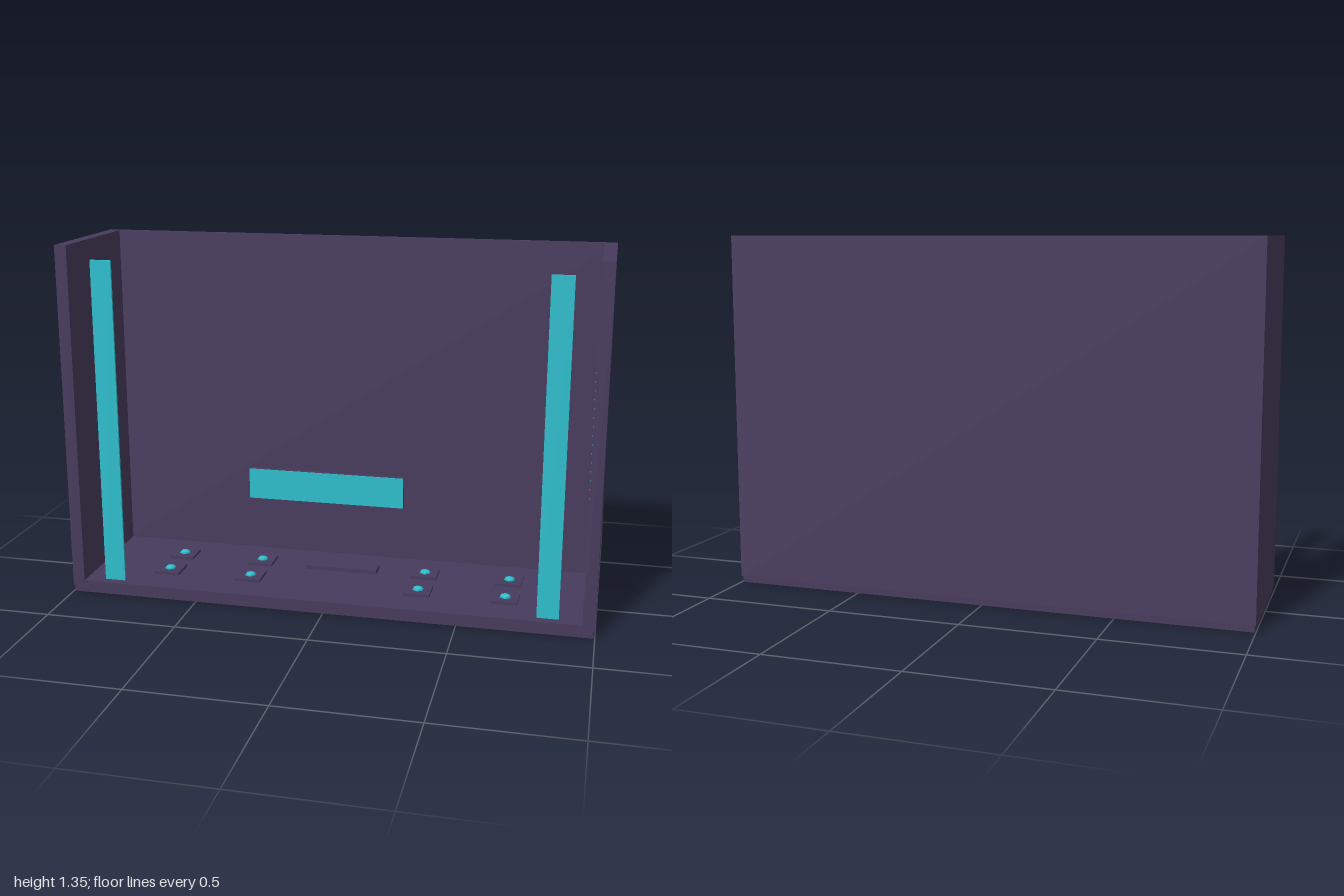
import * as THREE from 'three';

export function createModel() {
  const model = new THREE.Group();
  const plum = new THREE.MeshStandardMaterial({ color: 0x483b5d });
  plum.name = 'dark plum';
  const cyan = new THREE.MeshStandardMaterial({ color: 0x2ebfce });
  cyan.name = 'cyan';

  const add = (name, geometry, material, x, y, z) => {
    const mesh = new THREE.Mesh(geometry, material);
    mesh.name = name;
    mesh.position.set(x, y, z);
    model.add(mesh);
    return mesh;
  };
  // Box given by its lower and upper limits on each axis
  const box = (name, material, x0, x1, y0, y1, z0, z1) =>
    add(name, new THREE.BoxGeometry(x1 - x0, y1 - y0, z1 - z0), material,
      (x0 + x1) / 2, (y0 + y1) / 2, (z0 + z1) / 2);

  // Open-fronted shell
  box('floor', plum, -0.995, 0.995, 0, 0.047, -0.26, 0.264);
  box('backWall', plum, -1, 1, 0.025, 1.35, -0.265, -0.24);

  for (const side of [-1, 1]) {
    const label = side < 0 ? 'right' : 'left';
    box(label + 'Wall', plum, side * 0.977 - 0.023, side * 0.977 + 0.023, 0.025, 1.35, -0.262, 0.265);
    // Upright light strip near the front edge
    box(label + 'LightStrip', cyan, side * 0.83 - 0.04, side * 0.83 + 0.04, 0.056, 1.298, 0.244, 0.252);
    // Thin accent line on the inside of the wall
    box(label + 'WallAccent', cyan, side * 0.953 - 0.003, side * 0.953 + 0.003, 0.41, 0.92, -0.016, -0.006);
    // Small fixings behind the screen
    add(label + 'ScreenKnob', new THREE.SphereGeometry(0.015, 10, 8), plum, side * 0.15, 0.476, 0.164);
    add(label + 'ScreenPin', new THREE.SphereGeometry(0.008, 8, 6), plum, side * 0.15, 0.476, 0.125);
  }

  // Floating screen with lit face
  box('screenBody', plum, -0.29, 0.29, 0.42, 0.533, 0.193, 0.21);
  box('screenFace', cyan, -0.29, 0.29, 0.42, 0.533, 0.21, 0.214);

  // Floor block and light tiles
  box('floorBlock', plum, -0.143, 0.143, 0.04, 0.063, -0.113, -0.043);
  for (const x of [-0.663, -0.332, 0.332, 0.663]) {
    for (const z of [-0.083, 0.09]) {
      box('tile', plum, x - 0.05, x + 0.05, 0.04, 0.058, z - 0.05, z + 0.05);
      const lamp = add('tileLamp', new THREE.SphereGeometry(0.023, 6, 4), cyan, x, 0.058, z);
      lamp.scale.y = 0.5;
      lamp.rotation.y = Math.PI / 6;
    }
  }
  return model;
}
